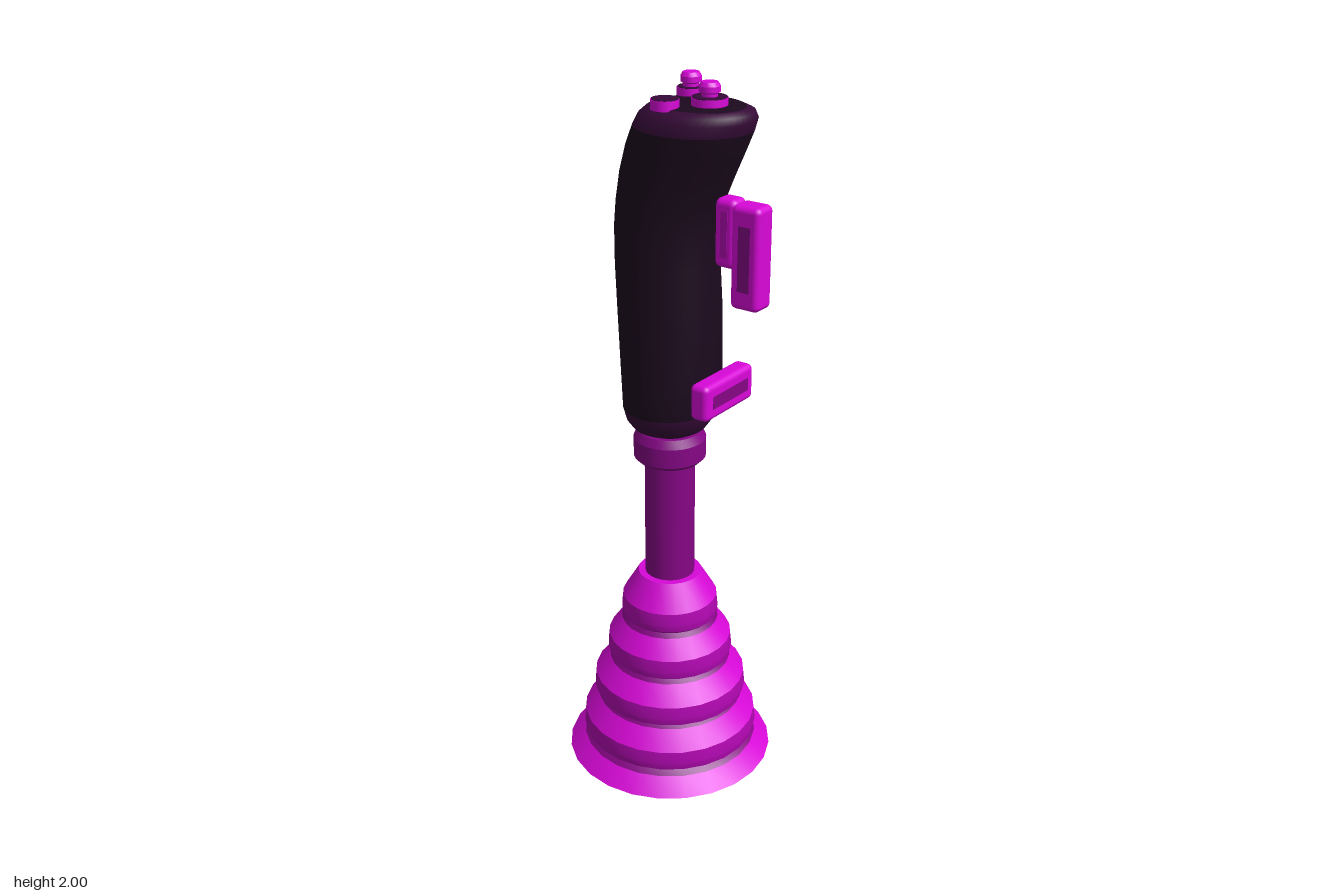
import * as THREE from 'three';
import { toCreasedNormals } from 'three/addons/utils/BufferGeometryUtils.js';
import { RoundedBoxGeometry } from 'three/addons/geometries/RoundedBoxGeometry.js';

const material = (name, color) => {
  const m = new THREE.MeshStandardMaterial({ color });
  m.name = name;
  return m;
};

export function createModel() {
  const model = new THREE.Group();
  model.name = 'joystick';
  const magenta = material('magenta', 0xd808d8);
  const orchid = material('dark magenta', 0xb408b4);
  const purple = material('deep purple', 0x860686);
  const plum = material('dark plum', 0x360a38);
  const black = material('grip black', 0x1c0a1e);

  const add = (name, geometry, mat, x = 0, y = 0, z = 0) => {
    const mesh = new THREE.Mesh(geometry, mat);
    mesh.name = name;
    mesh.position.set(x, y, z);
    model.add(mesh);
    return mesh;
  };
  const lathe = (points, segments = 24) => toCreasedNormals(
    new THREE.LatheGeometry(points.map(([r, y]) => new THREE.Vector2(r, y)), segments), 0.35);

  // Underside with a darker centre, and the flared skirt
  add('bootCentre', lathe([[0, 0], [0.05, 0.001], [0.12, 0.006]]), plum);
  add('bootUnderside', lathe([[0.12, 0.006], [0.15, 0.012], [0.3, 0.012]]), magenta);
  add('bootSkirt', lathe([[0.3, 0.012], [0.255, 0.056]]), magenta);
  add('bootCrease', lathe([[0.255, 0.056], [0.24, 0.07], [0.252, 0.078]]), purple);

  // Pleats: upright band, bright slope, and a dark crease under the next pleat
  const pleats = [[0.252, 0.078, 0.2], [0.218, 0.208, 0.165], [0.177, 0.338, 0.13], [0.135, 0.467, 0.09]];
  pleats.forEach(([r, y, neck], i) => {
    const edge = [r, y + 0.058];
    const end = [neck, y + 0.124];
    add('pleatBand', lathe([[r, y], [r + 0.004, y + 0.02], edge]), orchid);
    if (i === pleats.length - 1) {
      add('pleatSlope', lathe([edge, [neck, 0.6], [0, 0.6]]), magenta);
      return;
    }
    const turn = [neck + (r - neck) * 0.2, y + 0.111];
    add('pleatSlope', lathe([edge, turn]), magenta);
    add('pleatCrease', lathe([turn, end, pleats[i + 1].slice(0, 2)]), purple);
  });

  // Shaft and collar
  add('shaft', new THREE.CylinderGeometry(0.07, 0.07, 0.4, 32), purple, 0, 0.78, 0);
  add('collar', lathe([[0, 0.955], [0.088, 0.955], [0.1, 0.967], [0.1, 1.022],
    [0.088, 1.045], [0, 1.047]], 32), purple);

  // Grip: rows of [height, back x, front x, half width]
  const rows = [
    [1.045, -0.01, 0.01, 0.01], [1.048, -0.075, 0.08, 0.08], [1.06, -0.1, 0.1, 0.105],
    [1.085, -0.115, 0.117, 0.125], [1.12, -0.122, 0.13, 0.138], [1.2, -0.126, 0.14, 0.142],
    [1.4, -0.139, 0.139, 0.139], [1.52, -0.146, 0.132, 0.136], [1.62, -0.147, 0.132, 0.135],
    [1.69, -0.141, 0.145, 0.135], [1.76, -0.13, 0.175, 0.136], [1.83, -0.11, 0.207, 0.138],
    [1.885, -0.087, 0.231, 0.139], [1.915, -0.07, 0.241, 0.134], [1.932, -0.05, 0.236, 0.12],
    [1.942, -0.025, 0.212, 0.1], [1.944, 0.01, 0.18, 0.075], [1.944, 0.08, 0.1, 0.01],
  ];
  const sides = 48;
  const positions = [];
  const index = [];
  const grip = new THREE.BufferGeometry();
  rows.forEach(([y, back, front, half], i) => {
    // The rounded rims at the foot and head of the grip are plum
    const rim = y < 1.1 || (y > 1.88 && y < 1.94);
    if (i < rows.length - 1) grip.addGroup(index.length, sides * 6, rim ? 1 : 0);
    for (let j = 0; j < sides; j++) {
      const a = (j / sides) * Math.PI * 2;
      positions.push((back + front) / 2 + Math.cos(a) * (front - back) / 2, y, Math.sin(a) * half);
      if (i === rows.length - 1) continue;
      const p = i * sides + j;
      const q = i * sides + (j + 1) % sides;
      index.push(p, p + sides, q, p + sides, q + sides, q);
    }
  });
  // Close both ends of the grip
  const top = (rows.length - 1) * sides;
  grip.addGroup(index.length, (sides - 2) * 6, 0);
  for (let j = 1; j < sides - 1; j++) index.push(0, j, j + 1, top, top + j + 1, top + j);
  grip.setAttribute('position', new THREE.Float32BufferAttribute(positions, 3));
  grip.setIndex(index);
  grip.computeVertexNormals();
  add('grip', grip, [black, plum]);

  // Top buttons: disc, dark face, and a stemmed cap on two of them
  const buttons = [[0.012, -0.073, 0.036, true], [0.12, 0, 0.046, true], [0.045, 0.082, 0.036, false]];
  for (const [x, z, r, capped] of buttons) {
    add('buttonDisc', new THREE.CylinderGeometry(r, r, 0.025, 24), magenta, x, 1.95, z);
    add('buttonFace', new THREE.CylinderGeometry(r - 0.002, r - 0.002, 0.003, 24), plum, x, 1.963, z);
    if (!capped) continue;
    add('buttonCap', lathe([[0.02, 1.96], [0.02, 1.972], [0.027, 1.976], [0.027, 1.99],
      [0.021, 2], [0, 2]]), magenta, x, 0, z);
  }

  // Trigger, pinky lever and rear thumb button
  const block = (name, w, h, d, x, y, z, r) =>
    add(name, new RoundedBoxGeometry(w, h, d, 3, r), magenta, x, y, z);
  block('triggerMount', 0.065, 0.18, 0.06, 0.188, 1.635, 0, 0.018);
  block('trigger', 0.085, 0.27, 0.07, 0.252, 1.582, 0, 0.016);
  block('pinkyLever', 0.056, 0.1, 0.22, 0.17, 1.197, 0, 0.016);
  block('thumbButton', 0.066, 0.054, 0.034, -0.032, 1.787, -0.167, 0.012);

  // Inset panels on the trigger and lever
  for (const side of [-1, 1]) {
    add('triggerPanel', new THREE.BoxGeometry(0.035, 0.17, 0.003), purple, 0.252, 1.582, side * 0.035);
    add('mountPanel', new THREE.BoxGeometry(0.02, 0.12, 0.003), orchid, 0.188, 1.635, side * 0.03);
  }
  add('leverPanel', new THREE.BoxGeometry(0.003, 0.035, 0.16), purple, 0.198, 1.197, 0);

  return model;
}
